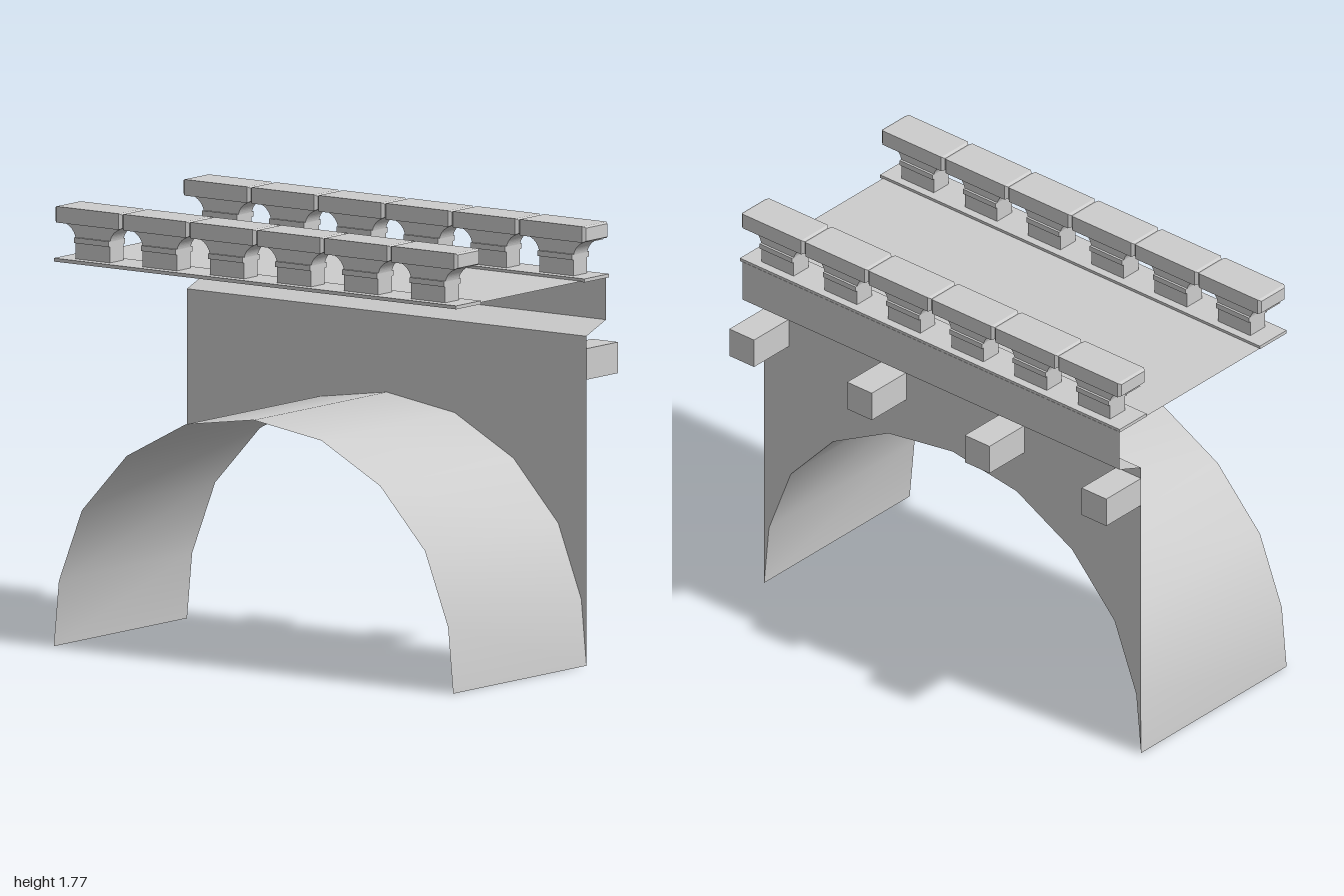
import * as THREE from 'three';

const X0 = -1, X1 = 0.985, XC = (X0 + X1) / 2;
const FRONT = 0.545, WALL = -0.335, FASCIA = -0.465;

export function createModel() {
  const model = new THREE.Group();
  model.name = 'bridgeSection';
  const stone = new THREE.MeshStandardMaterial({ color: 0xcccccc, side: THREE.DoubleSide });
  stone.name = 'greyStone';

  const add = (geometry, name, parent = model) => {
    const mesh = new THREE.Mesh(geometry, stone);
    mesh.name = name;
    parent.add(mesh);
    return mesh;
  };
  const box = (name, x0, x1, y0, y1, z0, z1, parent) => {
    const mesh = add(new THREE.BoxGeometry(x1 - x0, y1 - y0, z1 - z0), name, parent);
    mesh.position.set((x0 + x1) / 2, (y0 + y1) / 2, (z0 + z1) / 2);
    return mesh;
  };

  // Open sheet joining two matching rows of points, smooth along the row
  const sheet = (rowA, rowB, name) => {
    const pos = [], index = [];
    rowA.forEach((a, i) => {
      pos.push(...a, ...rowB[i]);
      if (i > 0) {
        const k = 2 * i;
        index.push(k - 2, k - 1, k, k, k - 1, k + 1);
      }
    });
    const g = new THREE.BufferGeometry();
    g.setAttribute('position', new THREE.Float32BufferAttribute(pos, 3));
    g.setIndex(index);
    g.computeVertexNormals();
    return add(g, name);
  };

  // Arch outline, mirrored about the crown
  const half = [[0.9925, 0], [0.967, 0.265], [0.8525, 0.56], [0.63, 0.8], [0.3375, 0.955]];
  const arch = [
    ...half.map(([x, y]) => [XC - x, y]),
    [XC, 1.005],
    ...half.map(([x, y]) => [XC + x, y]).reverse(),
  ];
  sheet(arch.map(([x, y]) => [x, y, WALL]), arch.map(([x, y]) => [x, y, FRONT]), 'archVault');

  // Back wall above the arch
  const wallShape = new THREE.Shape();
  wallShape.moveTo(X0, 1.325);
  arch.forEach(([x, y]) => wallShape.lineTo(x, y));
  wallShape.lineTo(X1, 1.325);
  const wall = add(new THREE.ShapeGeometry(wallShape), 'backWall');
  wall.position.z = WALL;

  // Deck, fascia and sloping ledge, each a flat panel across the width
  const panel = (y0, z0, y1, z1, name) =>
    sheet([[X0, y0, z0], [X1, y0, z0]], [[X0, y1, z1], [X1, y1, z1]], name);
  panel(1.55, FASCIA, 1.55, FRONT, 'deck');
  panel(1.375, FASCIA, 1.55, FASCIA, 'fascia');
  panel(1.325, WALL, 1.375, FASCIA, 'slopingLedge');

  // Brackets projecting from the back wall
  [-1, -0.385, 0.235, 0.855].forEach((x) => box('bracket', x, x + 0.13, 1.15, 1.275, -0.545, WALL));

  // Baluster that flares in quarter arcs up to the cap
  const W = 1 / 6, P = 0.085;
  const post = new THREE.Shape();
  post.moveTo(-P, 1.56);
  post.lineTo(P, 1.56);
  post.lineTo(P, 1.635);
  post.absellipse(W, 1.635, W - P, 0.07, Math.PI, Math.PI / 2, true);
  post.lineTo(-W, 1.705);
  post.absellipse(-W, 1.635, W - P, 0.07, Math.PI / 2, 0, true);
  post.lineTo(-P, 1.56);
  const postGeometry = new THREE.ExtrudeGeometry(post, { depth: 0.09, bevelEnabled: false, curveSegments: 8 });
  postGeometry.translate(0, 0, -0.045);

  // Cap block with bevelled ends
  const makeCap = () => {
    let g = new THREE.BoxGeometry(2 * W, 0.065, 0.16, 3, 1, 1);
    const p = g.attributes.position;
    for (let i = 0; i < p.count; i++) {
      const x = p.getX(i);
      if (Math.abs(x) < W - 0.01) p.setX(i, Math.sign(x) * (W - 0.012));
      else p.setXYZ(i, x, p.getY(i) * 0.82, p.getZ(i) * 0.87);
    }
    g = g.toNonIndexed();
    g.computeVertexNormals();
    return g;
  };
  const capGeometry = makeCap();

  // Two parapets of six balusters
  [['frontParapet', 0.464], ['backParapet', -0.383]].forEach(([name, z]) => {
    const parapet = new THREE.Group();
    parapet.name = name;
    parapet.position.z = z;
    model.add(parapet);
    box('basePlate', -1, 1, 1.547, 1.561, -0.081, 0.081, parapet);
    for (let i = 0; i < 6; i++) {
      const x = -1 + W + i * 2 * W;
      add(postGeometry, 'baluster', parapet).position.x = x;
      add(capGeometry, 'cap', parapet).position.set(x, 1.7375, 0);
      box('balusterBand', x - P - 0.001, x + P + 0.001, 1.626, 1.648, -0.055, 0.055, parapet);
    }
  });

  return model;
}
